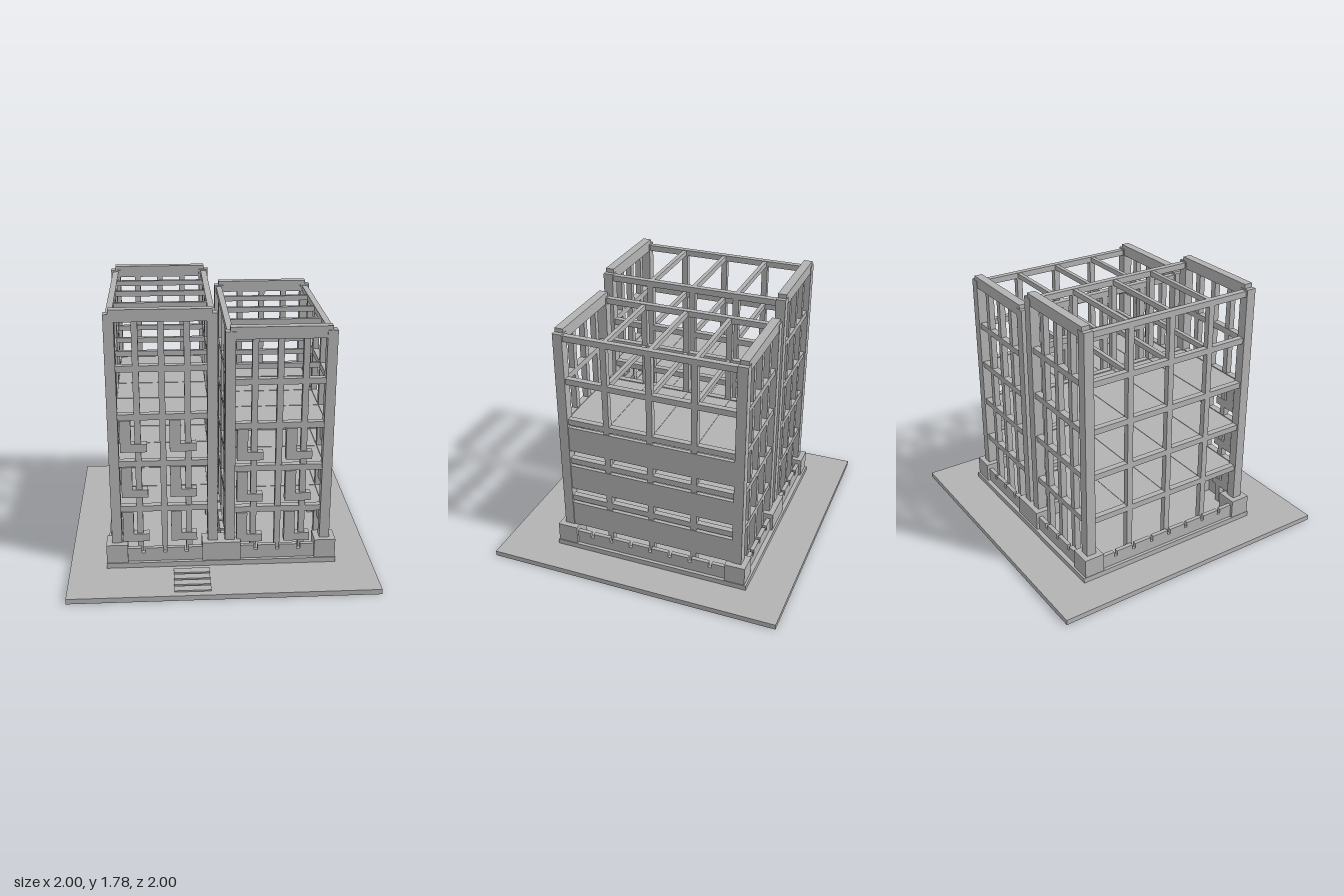
import * as THREE from 'three';

const concrete = new THREE.MeshStandardMaterial({ color: 0xb3b3b3 });

// Box given by its min and max on each axis
function box(parent, name, x0, x1, y0, y1, z0, z1) {
  const mesh = new THREE.Mesh(new THREE.BoxGeometry(x1 - x0, y1 - y0, z1 - z0), concrete);
  mesh.name = name;
  mesh.position.set((x0 + x1) / 2, (y0 + y1) / 2, (z0 + z1) / 2);
  parent.add(mesh);
  return mesh;
}

const FRONT = 0.5625, BACK = -0.6425, MID = -0.04; // column lines along z
const COL = 0.0325, BAR = 0.02;                    // half widths
const SIDE_MULLIONS = [0.26, -0.04, -0.34];

// Low wall with notches in its top, running along x or z
function notchedWall(parent, alongX, line, from, to, count) {
  const t = 0.014, pitch = (to - from) / count;
  const put = (name, a, b, y0, y1) => alongX
    ? box(parent, name, a, b, y0, y1, line - t, line + t)
    : box(parent, name, line - t, line + t, y0, y1, a, b);
  put('baseWall', from, to, 0.07, 0.13);
  for (let i = 0; i < count; i++) {
    put('baseWallBlock', from + i * pitch + 0.011, from + (i + 1) * pitch - 0.011, 0.13, 0.165);
  }
}

// Open frame tower; cx = centre, top = column top, pitch = storey height
function tower(cx, top, firstBeam, pitch, ornamentX) {
  const g = new THREE.Group();
  const xs = [cx - 0.315, cx + 0.315];
  const inL = xs[0] + COL, inR = xs[1] - COL;
  const inF = FRONT - COL, inB = BACK + COL;
  const roof = top - 0.05;

  // Corner columns on footing blocks
  for (const x of xs) for (const z of [FRONT, BACK]) {
    box(g, 'cornerColumn', x - COL, x + COL, 0.07, top, z - COL, z + COL);
    box(g, 'footing', x - 0.07, x + 0.07, 0.07, 0.2, z - 0.069, z + 0.069);
  }

  // Front and back faces: lintel, mullions and low wall
  for (const z of [FRONT, BACK]) {
    box(g, 'lintel', xs[0] - 0.002, xs[1] + 0.002, roof, top + 0.028, z - 0.029, z + 0.029);
    for (const d of [-0.16, 0, 0.16]) {
      box(g, 'mullion', cx + d - BAR, cx + d + BAR, 0.07, roof, z - BAR, z + BAR);
    }
    notchedWall(g, true, z + Math.sign(z) * 0.0375, xs[0] + 0.03, xs[1] - 0.03, 4);
  }

  // Side faces: mullions and low wall
  for (const x of xs) {
    for (const z of SIDE_MULLIONS) {
      box(g, 'sideMullion', x - BAR, x + BAR, 0.07, roof, z - BAR, z + BAR);
    }
    notchedWall(g, false, x + Math.sign(x - cx) * 0.0375, inB, inF, 8);
  }

  // Beams of each storey, with cross beams
  const levels = [0, 1, 2, 3].map((i) => firstBeam + i * pitch);
  for (const y of [...levels, roof]) {
    for (const x of xs) box(g, 'sideBeam', x - BAR, x + BAR, y, y + 0.04, inB, inF);
    for (const z of SIDE_MULLIONS) {
      box(g, 'crossBeam', xs[0], xs[1], y + 0.003, y + 0.037, z - 0.014, z + 0.014);
    }
  }
  levels.forEach((y, i) => {
    for (const z of [FRONT, BACK]) box(g, 'faceBeam', inL, inR, y, y + 0.04, z - 0.022, z + 0.022);
    // Floors and L-shaped front ornaments on the lower three storeys
    if (i > 2) return;
    box(g, 'floorSlab', xs[0], xs[1], y + 0.006, y + 0.034, BACK, FRONT);
    for (const x of ornamentX) {
      const foot = y - 0.215;
      const shape = new THREE.Shape([
        [x, y], [x, foot], [x + 0.17, foot], [x + 0.17, foot + 0.055],
        [x + 0.07, foot + 0.055], [x + 0.07, y],
      ].map(([a, b]) => new THREE.Vector2(a, b)));
      const mesh = new THREE.Mesh(
        new THREE.ExtrudeGeometry(shape, { depth: 0.055, bevelEnabled: false }), concrete);
      mesh.name = 'frontOrnament';
      mesh.position.z = 0.538;
      g.add(mesh);
    }
  });
  return g;
}

export function createModel() {
  const model = new THREE.Group();
  model.name = 'twinTowerFrame';

  // Ground slab, plinth and walkway
  box(model, 'groundSlab', -1, 1, 0, 0.035, -1, 1);
  box(model, 'plinth', -0.76, 0.76, 0.035, 0.07, -0.725, 0.638);
  for (let i = 0; i < 4; i++) {
    const z = 0.68 + i * 0.073;
    box(model, 'walkwaySlab', -0.32, -0.085, 0.035, 0.045, z, z + 0.056);
  }

  // Tall and short towers
  const tall = tower(-0.3725, 1.75, 0.42, 0.32, [-0.645, -0.33]);
  tall.name = 'tallTower';
  const short = tower(0.3705, 1.63, 0.395, 0.295, [0.1, 0.415]);
  short.name = 'shortTower';
  model.add(tall, short);

  // Solid wall panels on the outer side of the short tower
  for (let i = 0; i < 3; i++) {
    const y = 0.2 + i * 0.295;
    box(short, 'wallPanel', 0.685, 0.712, y, y + 0.178, BACK + COL, FRONT - COL);
  }
  return model;
}
